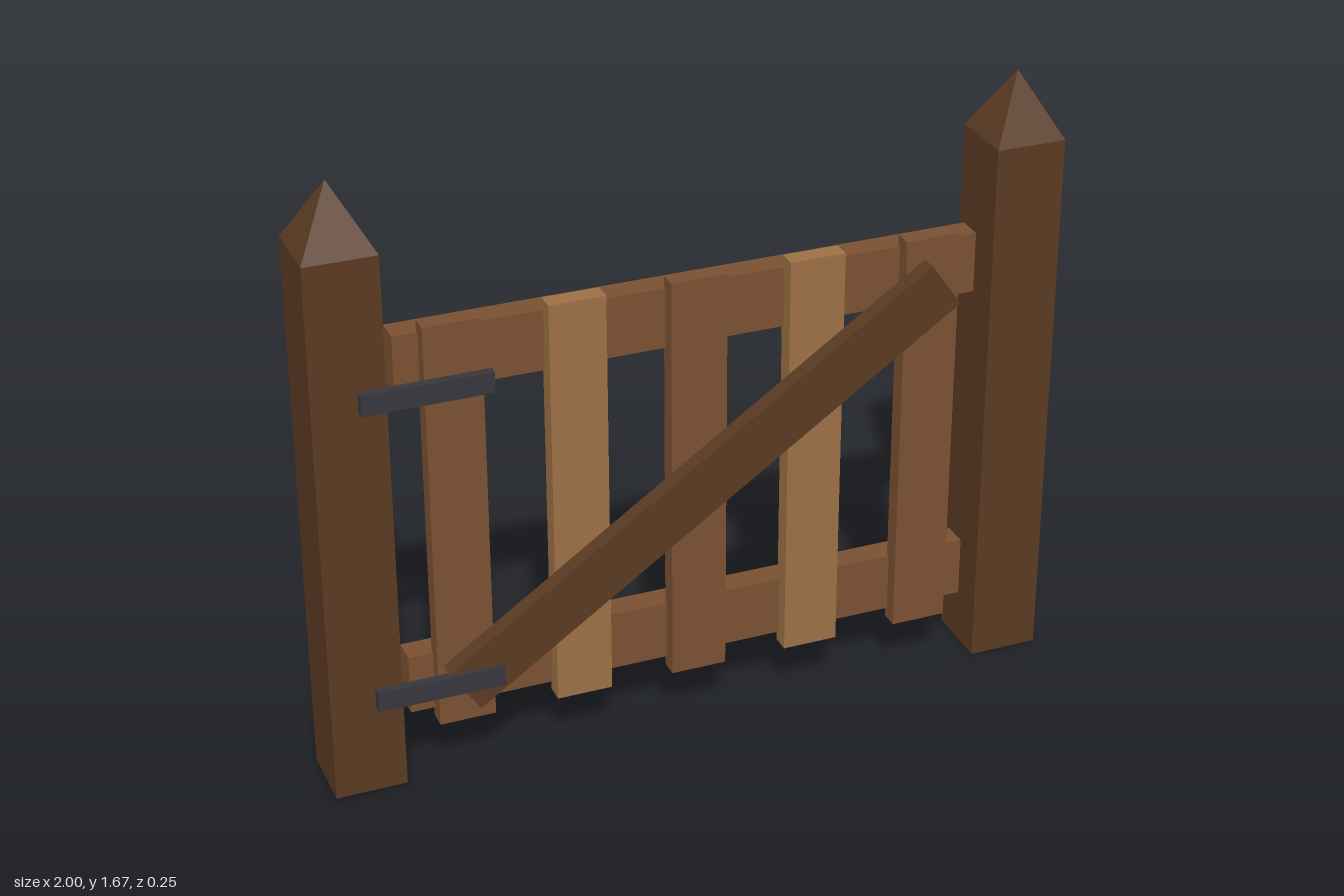
import * as THREE from 'three';

export function createModel() {
  const gate = new THREE.Group();
  gate.name = 'woodenGate';

  const material = (name, color) => {
    const m = new THREE.MeshStandardMaterial({ color });
    m.name = name;
    return m;
  };
  const darkWood = material('darkWood', 0x5a3a22);
  const midWood = material('midWood', 0x7a5033);
  const lightWood = material('lightWood', 0x9c7045);
  const iron = material('iron', 0x36363d);

  const add = (name, geometry, mat, x, y, z) => {
    const mesh = new THREE.Mesh(geometry, mat);
    mesh.name = name;
    mesh.position.set(x, y, z);
    gate.add(mesh);
    return mesh;
  };
  const box = (w, h, d) => new THREE.BoxGeometry(w, h, d);

  // Square posts with pyramid tips
  const postWidth = 0.19, postHeight = 1.505, tipHeight = 0.17;
  const tip = new THREE.ConeGeometry(postWidth / Math.SQRT2, tipHeight, 4, 1, true)
    .rotateY(Math.PI / 4).toNonIndexed();
  tip.computeVertexNormals();
  for (const [side, x] of [['right', -0.905], ['left', 0.905]]) {
    add(side + 'Post', box(postWidth, postHeight, postWidth), darkWood, x, postHeight / 2, -0.03);
    add(side + 'PostTip', tip, darkWood, x, postHeight + tipHeight / 2, -0.03);
  }

  // Horizontal rails at the back
  add('lowerRail', box(1.56, 0.165, 0.07), midWood, 0, 0.267, -0.01);
  add('upperRail', box(1.56, 0.165, 0.07), midWood, 0, 1.183, -0.01);

  // Pickets in alternating wood
  for (let i = 0; i < 5; i++) {
    add('picket' + (i + 1), box(0.15, 1.14, 0.05), i % 2 ? lightWood : midWood, (i - 2) * 0.32, 0.725, 0.04);
  }

  // Diagonal brace across the front
  add('brace', box(1.6, 0.145, 0.046), darkWood, 0, 0.725, 0.088).rotation.z = Math.atan2(0.455, 0.66);

  // Iron hinge straps
  add('lowerHinge', box(0.336, 0.056, 0.024), iron, -0.723, 0.303, 0.113);
  add('upperHinge', box(0.336, 0.056, 0.024), iron, -0.723, 1.147, 0.113);

  return gate;
}
